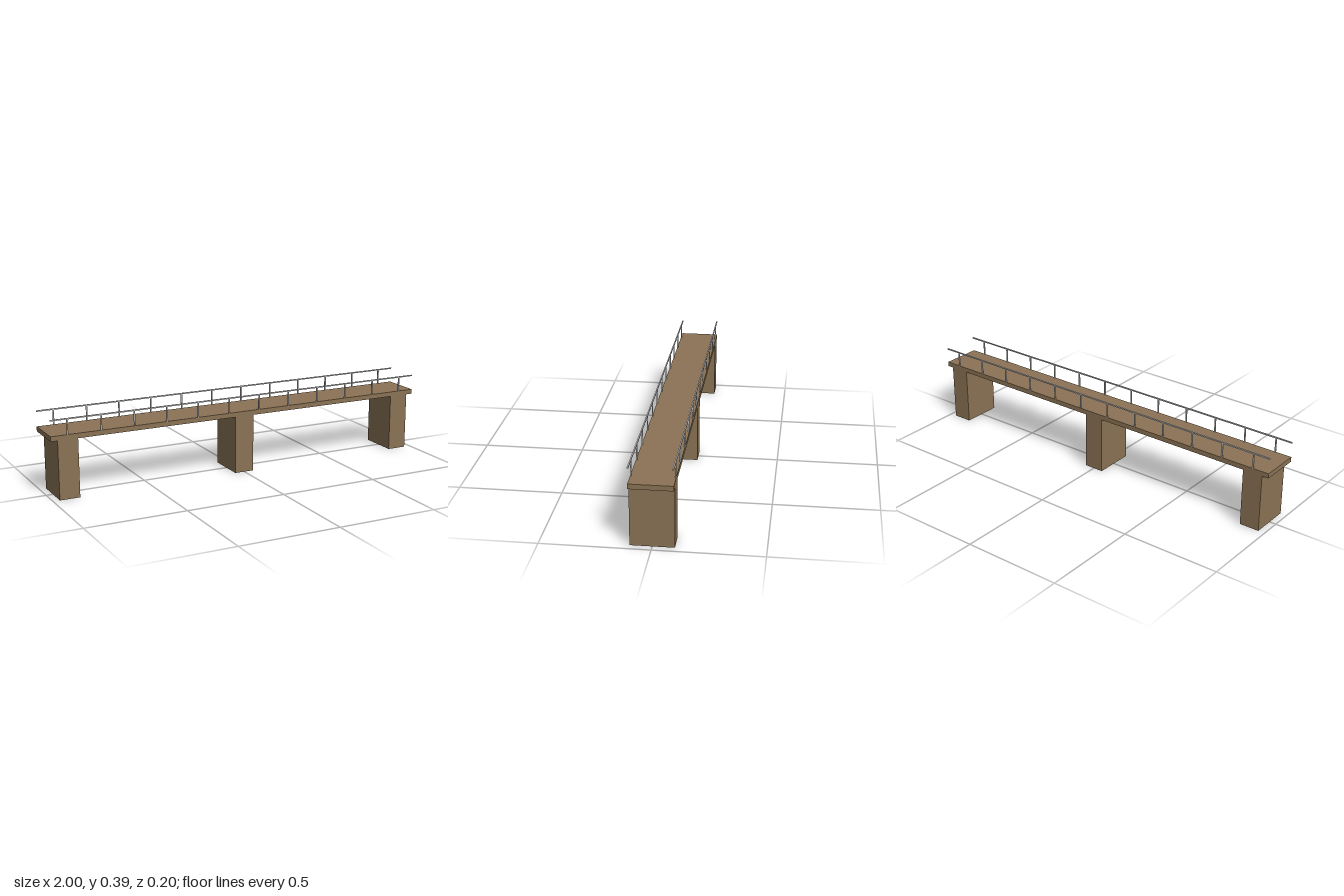
import * as THREE from 'three';

const stone = new THREE.MeshStandardMaterial({ color: 0x8b7355 });
const metal = new THREE.MeshStandardMaterial({ color: 0xcccccc });

const DECK_BOTTOM = 0.288, DECK_TOP = 0.312, RAIL_TOP = 0.39;
const LENGTH = 2, WIDTH = 0.2, BAR = 0.006;

// Box standing on height y0 and reaching up to y1
function block(name, material, width, depth, x, y0, y1, z) {
  const mesh = new THREE.Mesh(new THREE.BoxGeometry(width, y1 - y0, depth), material);
  mesh.name = name;
  mesh.position.set(x, (y0 + y1) / 2, z);
  return mesh;
}

// Handrail along one edge of the deck, carried by evenly spaced posts
function createRailing(name, z) {
  const railing = new THREE.Group();
  railing.name = name;
  railing.add(block('handrail', metal, LENGTH, BAR, 0, RAIL_TOP - BAR, RAIL_TOP, z));
  const posts = 12, spacing = LENGTH / posts;
  for (let i = 0; i < posts; i++) {
    const x = (i - (posts - 1) / 2) * spacing;
    railing.add(block('railPost', metal, BAR, BAR, x, DECK_TOP, RAIL_TOP - BAR, z));
  }
  return railing;
}

export function createModel() {
  const bridge = new THREE.Group();
  bridge.name = 'bridge';

  // Flat deck
  bridge.add(block('deck', stone, LENGTH, WIDTH, 0, DECK_BOTTOM, DECK_TOP, 0));

  // Three piers: both ends and the middle
  for (const x of [-0.917, 0, 0.917]) {
    bridge.add(block('pier', stone, 0.1, WIDTH, x, 0, DECK_BOTTOM, 0));
  }

  // Railings flush with the deck edges
  const railZ = (WIDTH - BAR) / 2;
  bridge.add(createRailing('frontRailing', railZ), createRailing('backRailing', -railZ));

  return bridge;
}
